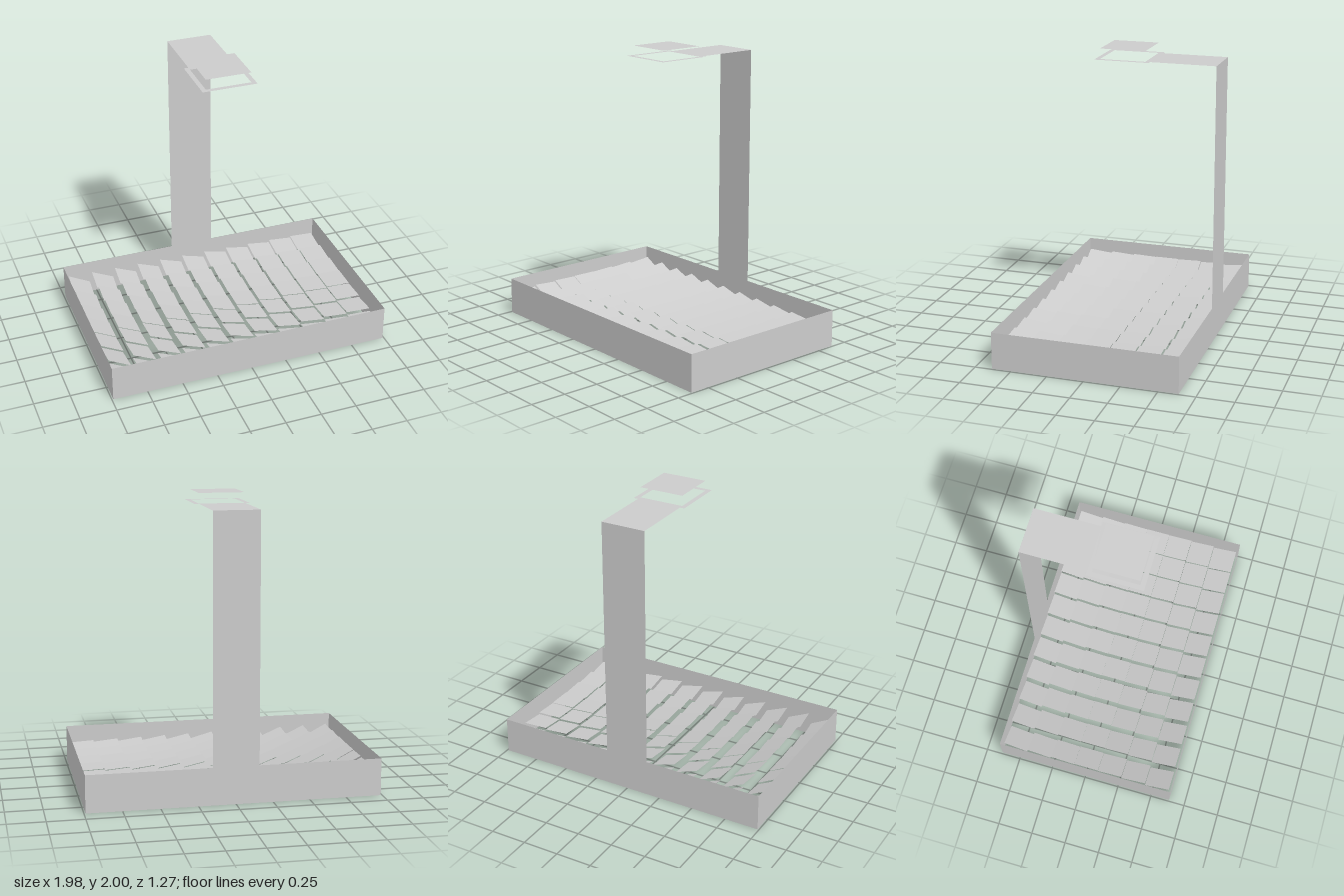
import * as THREE from 'three';

const W = 0.99, D = 0.635, RIM = 0.255; // half width, half depth and height of the tray
const MAST = 0.156, TOP = 1.93; // half width and top of the mast

export function createModel() {
  const model = new THREE.Group();
  const material = new THREE.MeshStandardMaterial({ color: 0xcccccc, side: THREE.DoubleSide });

  function add(name, geometry, x, y, z, parent = model) {
    const mesh = new THREE.Mesh(geometry, material);
    mesh.name = name;
    mesh.position.set(x, y, z);
    parent.add(mesh);
    return mesh;
  }
  const flat = (w, d) => new THREE.PlaneGeometry(w, d).rotateX(-Math.PI / 2);

  // Four thin walls of the tray, open above and below
  for (const s of [1, -1]) {
    add(s > 0 ? 'frontWall' : 'backWall', new THREE.PlaneGeometry(2 * W, RIM), 0, RIM / 2, s * D)
      .rotation.y = s > 0 ? 0 : Math.PI;
    add(s > 0 ? 'leftWall' : 'rightWall', new THREE.PlaneGeometry(2 * D, RIM), s * W, RIM / 2, 0)
      .rotation.y = s * Math.PI / 2;
  }

  // Flat mast at the back with an arm reaching over the tray
  const FRAME = 0.188;
  add('mast', new THREE.PlaneGeometry(2 * MAST, TOP - RIM).rotateY(Math.PI), 0, (TOP + RIM) / 2, -D);
  add('arm', flat(2 * MAST, D - FRAME), 0, TOP, -(D + FRAME) / 2);

  // Square frame at the end of the arm, with the receiver plate above its opening
  const square = (path, r) => path.moveTo(-r, -r).lineTo(r, -r).lineTo(r, r).lineTo(-r, r).closePath();
  const ring = square(new THREE.Shape(), FRAME);
  ring.holes.push(square(new THREE.Path(), MAST));
  add('receiverFrame', new THREE.ShapeGeometry(ring).rotateX(-Math.PI / 2), 0, TOP, 0);
  add('receiverPlate', flat(2 * MAST, 2 * MAST), 0, 2, 0);

  // Mirror tiles: each normal halves the angle between the sun and the receiver
  const mirrors = new THREE.Group();
  mirrors.name = 'mirrors';
  model.add(mirrors);
  const PITCH = 0.177, tile = flat(0.176, 0.176);
  const sun = new THREE.Vector3(0.5, 0.866, 0).normalize();
  const target = new THREE.Vector3(0, 2, 0);
  for (let i = -5; i <= 5; i++) {
    for (let j = -3; j <= 3; j++) {
      const mesh = add('mirror', tile, i * PITCH, RIM / 2, j * PITCH, mirrors);
      const n = target.clone().sub(mesh.position).normalize().add(sun).normalize();
      const u = new THREE.Vector3(n.y, -n.x, 0).normalize();
      const v = new THREE.Vector3().crossVectors(u, n);
      mesh.quaternion.setFromRotationMatrix(new THREE.Matrix4().makeBasis(u, n, v));
    }
  }
  return model;
}
